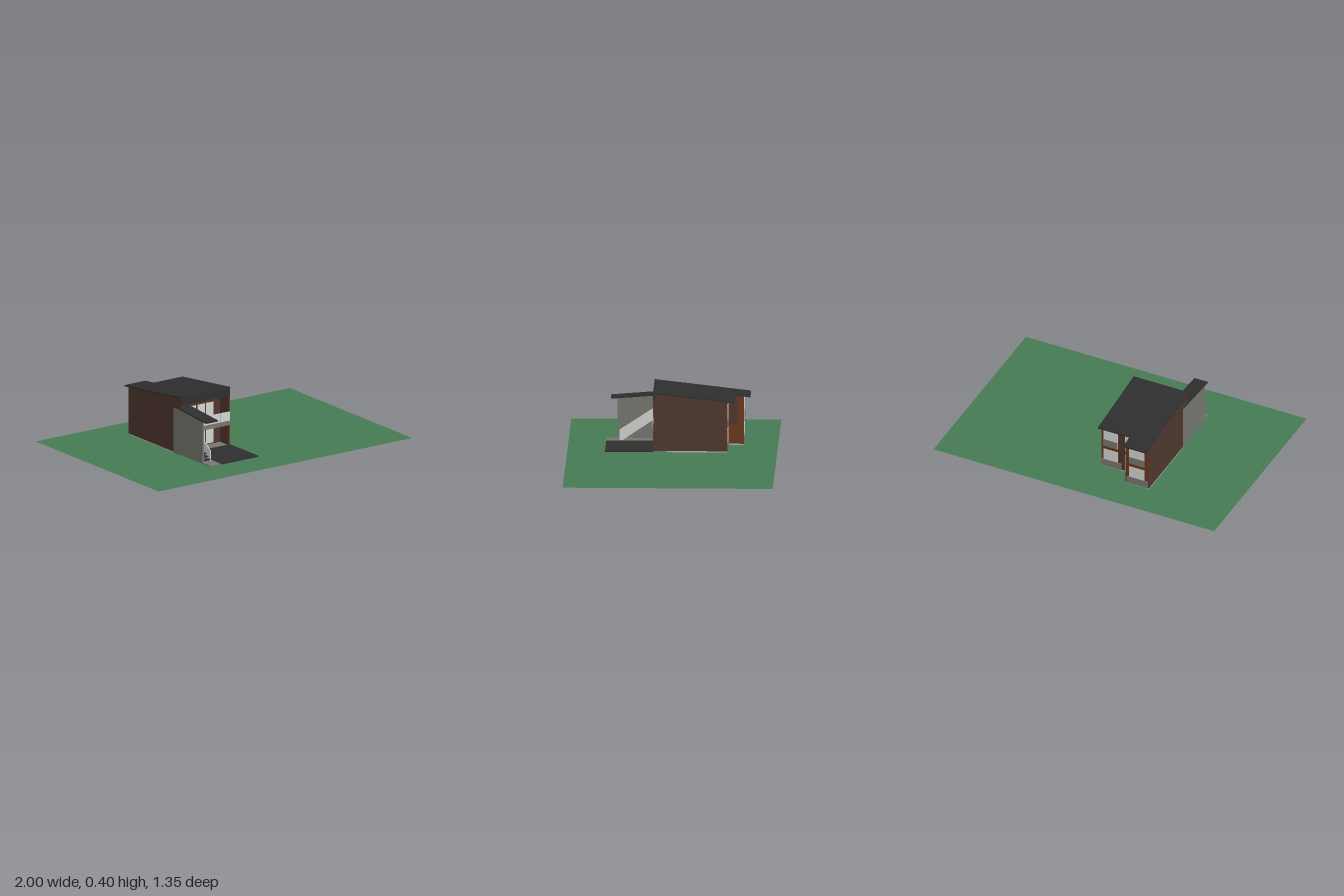
import * as THREE from 'three';

const mat = (name, color, extra = {}) => {
  const m = new THREE.MeshStandardMaterial({ color, ...extra });
  m.name = name;
  return m;
};

export function createModel() {
  const house = new THREE.Group();
  house.name = 'house';
  const grass = mat('grass green', 0x447a53, { side: THREE.DoubleSide });
  const roofing = mat('roof charcoal', 0x2e2e2e);
  const brown = mat('dark brown cladding', 0x4e372e);
  const wood = mat('rust timber', 0x6b351d);
  const grey = mat('concrete grey', 0x777770);
  const pale = mat('foundation pale grey', 0xb4b4ac);
  const glass = mat('glass white', 0xd0d4d0);
  const black = mat('frame black', 0x1c1c1c);

  const add = (name, geometry, material) => {
    const mesh = new THREE.Mesh(geometry, material);
    mesh.name = name;
    house.add(mesh);
    return mesh;
  };
  // Box given by its limits on each axis
  const box = (name, m, x0, x1, y0, y1, z0, z1) => {
    const g = new THREE.BoxGeometry(x1 - x0, y1 - y0, z1 - z0);
    g.translate((x0 + x1) / 2, (y0 + y1) / 2, (z0 + z1) / 2);
    return add(name, g, m);
  };
  // Side profile of [z, y] points swept from x0 to x1
  const profile = (name, m, x0, x1, pts) => {
    const shape = new THREE.Shape(pts.map(([z, y]) => new THREE.Vector2(z, y)));
    const g = new THREE.ExtrudeGeometry(shape, { depth: x1 - x0, bevelEnabled: false });
    g.rotateY(-Math.PI / 2);
    g.translate(x1, 0, 0);
    return add(name, g, m);
  };
  // Heights of the two sloping roofs
  const mainY = z => 0.381 + 0.1153 * z;
  const stairY = z => 0.325 - 0.0786 * z;
  const slab = (name, x0, x1, z0, z1, f, t) =>
    profile(name, roofing, x0, x1, [[z0, f(z0) - t], [z1, f(z1) - t], [z1, f(z1)], [z0, f(z0)]]);
  const wall = (name, m, x0, x1, z0, z1, f, y0 = 0.012) =>
    profile(name, m, x0, x1, [[z0, y0], [z1, y0], [z1, f(z1) - 0.007], [z0, f(z0) - 0.007]]);

  const L = -0.428, R = -0.04, S = -0.265;

  // Ground and paving
  const lawnGeo = new THREE.PlaneGeometry(2, 1.345);
  lawnGeo.rotateX(-Math.PI / 2);
  lawnGeo.translate(0, 0.004, 0);
  add('lawn', lawnGeo, grass);
  box('foundation', pale, S, R, 0, 0.012, -0.35, 0.04);
  box('foundationWing', pale, L, S, 0, 0.012, -0.45, 0.04);
  box('foundationRecess', black, -0.27, -0.235, -0.0005, 0.004, -0.35, -0.21);
  box('porchFloor', grey, L, R, 0.001, 0.012, 0.04, 0.12);
  box('driveway', roofing, -0.335, R, 0.001, 0.012, 0.12, 0.43);
  box('stairPad', grey, -0.42, -0.335, 0.001, 0.011, 0.12, 0.43);

  // Main volumes and side walls
  wall('mainBody', brown, S, R, -0.35, 0.04, mainY);
  wall('rearWing', brown, L, S, -0.45, 0.04, mainY);
  wall('porchSideWall', brown, -0.06, R, 0.04, 0.12, mainY);
  wall('upperSideWall', brown, L, L + 0.015, 0.04, 0.12, mainY, 0.31);
  wall('stairSideWall', grey, L, L + 0.012, 0.04, 0.36, stairY);

  // Roofs and front fascia
  slab('mainRoof', L - 0.002, R + 0.002, -0.4, 0.123, mainY, 0.008);
  slab('wingRoof', L - 0.002, S, -0.495, -0.4, mainY, 0.008);
  slab('stairRoof', L - 0.002, -0.335, 0.04, 0.4, stairY, 0.008);
  box('fascia', roofing, L, R, 0.337, 0.39, 0.113, 0.123);

  // Timber on the front
  box('entryTimber', wood, L + 0.012, -0.34, 0.012, 0.335, 0.04, 0.046);
  box('sideWallEnd', wood, -0.058, -0.042, 0.012, 0.337, 0.12, 0.123);
  box('sideWallEndSeam', black, -0.052, -0.049, 0.012, 0.337, 0.12, 0.124);

  // Balcony and its glass railing
  box('balconyDeck', grey, L + 0.012, -0.06, 0.142, 0.172, 0.04, 0.12);
  box('balconyEdge', grey, -0.355, R, 0.142, 0.172, 0.12, 0.125);
  for (let i = 0; i < 4; i++) {
    const x = -0.358 + i * 0.0795;
    box('railingGlass', glass, x, x + 0.0775, 0.172, 0.232, 0.12, 0.125);
  }

  // Front windows on both floors
  const frontPanes = [[-0.318, -0.255], [-0.238, -0.181], [-0.174, -0.115]];
  for (const [y0, y1] of [[0.02, 0.13], [0.175, 0.292]]) {
    for (const [x0, x1] of frontPanes) {
      box('frontFrame', wood, x0 - 0.005, x1 + 0.005, y0 - 0.004, y1 + 0.004, 0.04, 0.043);
      box('frontWindow', glass, x0, x1, y0, y1, 0.04, 0.046);
    }
  }

  // Outdoor stair: open treads and a pale balustrade
  const steps = 10;
  for (let i = 0; i < steps; i++) {
    const y = 0.025 + (i * 0.135) / (steps - 1);
    const z = 0.335 - (i * 0.205) / (steps - 1);
    box('stairTread', roofing, L + 0.012, -0.357, y - 0.006, y, z - 0.013, z + 0.013);
  }
  profile('stairBalustrade', glass, -0.357, -0.351,
    [[0.345, 0.012], [0.325, 0.012], [0.12, 0.152], [0.12, 0.228], [0.345, 0.08]]);

  // Rear timber and windows
  const rearTop = mainY(-0.45) - 0.008;
  box('wingRearTimber', wood, L, S, 0.012, rearTop, -0.453, -0.45);
  box('wingSideTimber', wood, S, S + 0.003, 0.012, rearTop, -0.453, -0.35);
  box('wingSidePanel', brown, S, S + 0.005, 0.14, rearTop, -0.413, -0.35);
  box('rearCornerTimber', wood, -0.055, R, 0.012, 0.33, -0.353, -0.35);
  box('rearMidTimber', wood, -0.165, -0.055, 0.14, 0.17, -0.353, -0.35);
  const rear = [[-0.398, -0.288, -0.453], [-0.158, -0.056, -0.353], [-0.25, -0.21, -0.353]];
  for (const [x0, x1, z] of rear) {
    for (const y of [0.014, 0.17]) {
      box('rearFrame', wood, x0 - 0.006, x1 + 0.006, y, y + 0.136, z, z + 0.003);
      box('rearWindow', glass, x0, x1, y, y + 0.13, z - 0.003, z);
      if (x1 - x0 > 0.05) {
        const low = y < 0.1;
        box('rearRailing', grey, low ? x0 - 0.025 : x0, low ? x1 + 0.016 : x1, y, y + 0.05, z - 0.006, z - 0.002);
      }
    }
  }
  return house;
}
